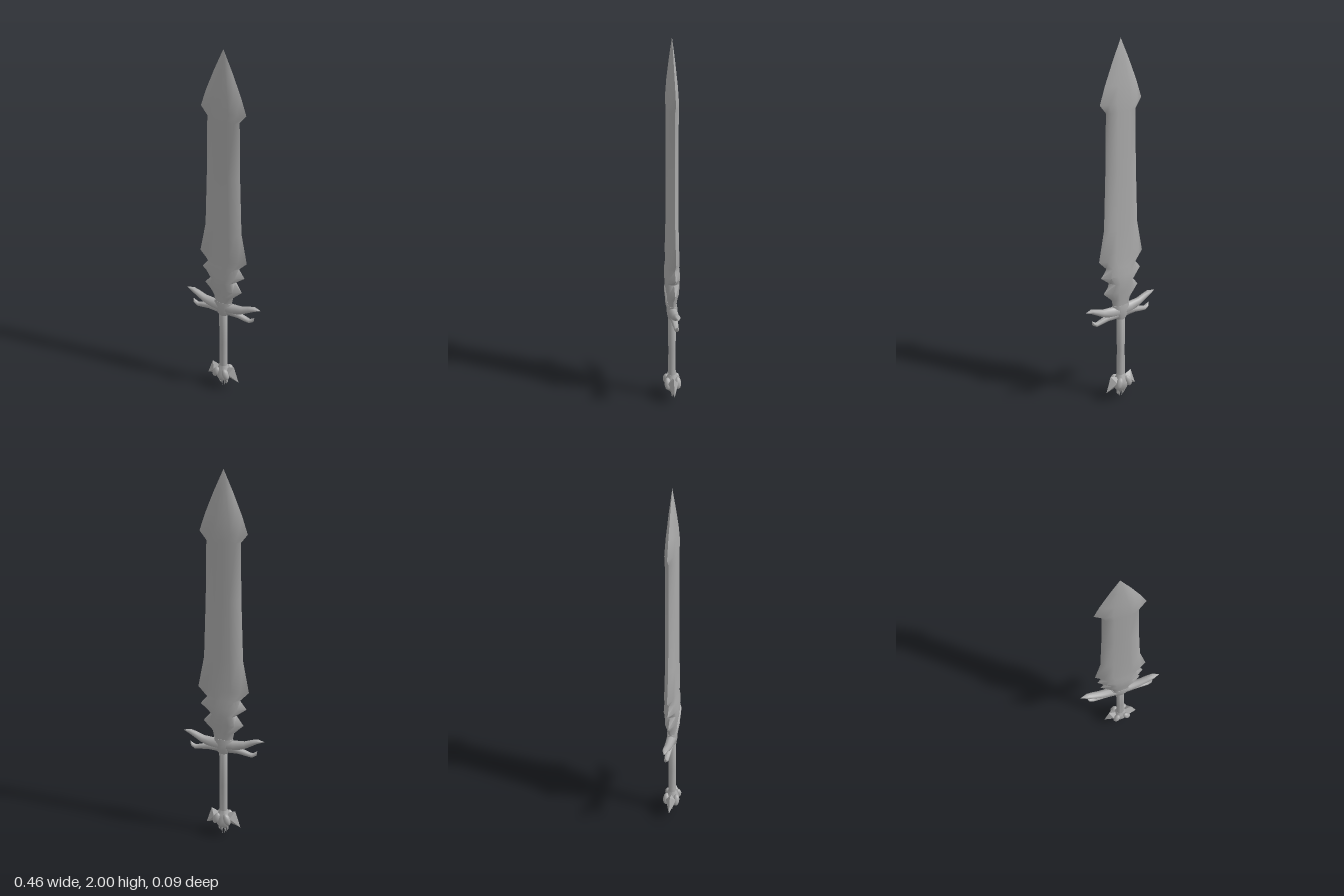
import * as THREE from 'three';
import { toCreasedNormals } from 'three/addons/utils/BufferGeometryUtils.js';
import { ConvexGeometry } from 'three/addons/geometries/ConvexGeometry.js';

const steel = new THREE.MeshStandardMaterial({ color: 0xaaaaaa });
steel.name = 'grey steel';

// Skin a list of rings, each holding the same number of [x, y, z] points
function loft(rings, crease = 1.0) {
  const n = rings[0].length, index = [];
  for (let i = 0; i < rings.length - 1; i++) {
    for (let j = 0; j < n; j++) {
      const a = i * n + j, b = i * n + (j + 1) % n;
      index.push(a, a + n, b, b, a + n, b + n);
    }
  }
  const g = new THREE.BufferGeometry();
  g.setAttribute('position', new THREE.Float32BufferAttribute(rings.flat(2), 3));
  g.setIndex(index);
  return toCreasedNormals(g, crease);
}

// Sweep an ellipse along a path of [x, y, in-plane radius, z radius]
function sweep(path, sides = 10) {
  const rings = path.map(([x, y, r, rz], i) => {
    const p = path[Math.max(i - 1, 0)], q = path[Math.min(i + 1, path.length - 1)];
    const len = Math.hypot(q[0] - p[0], q[1] - p[1]);
    const nx = (q[1] - p[1]) / len, ny = (p[0] - q[0]) / len;
    return Array.from({ length: sides }, (_, j) => {
      const a = j / sides * Math.PI * 2, c = Math.cos(a) * r;
      return [x + nx * c, y + ny * c, Math.sin(a) * rz];
    });
  });
  const [x, y] = path[0];
  rings.unshift(rings[0].map(() => [x, y, 0]));
  return loft(rings);
}

function add(parent, name, geometry) {
  const mesh = new THREE.Mesh(geometry, steel);
  mesh.name = name;
  parent.add(mesh);
  return mesh;
}

export function createModel() {
  const sword = new THREE.Group();
  sword.name = 'sword';

  // Blade stations: height, half width, shoulder half width, half thickness
  const blade = [
    [0.56, 0, 0, 0], [0.56, 0.05, 0.035, 0.022], [0.61, 0.06, 0.045, 0.026],
    [0.66, 0.112, 0.07, 0.034], [0.71, 0.07, 0.055, 0.039], [0.755, 0.128, 0.085, 0.038],
    [0.80, 0.092, 0.07, 0.034], [0.85, 0.14, 0.10, 0.031], [1.02, 0.107, 0.085, 0.028],
    [1.34, 0.096, 0.077, 0.028], [1.64, 0.091, 0.073, 0.029], [1.685, 0.127, 0.085, 0.029],
    [1.775, 0.097, 0.066, 0.024], [1.89, 0.05, 0.033, 0.013], [2.0, 0, 0, 0],
  ];
  add(sword, 'blade', loft(blade.map(([y, w, s, t]) => [
    [w, y, 0], [s, y, t * 0.76], [s * 0.5, y, t * 0.94], [0, y, t],
    [-s * 0.5, y, t * 0.94], [-s, y, t * 0.76], [-w, y, 0], [-s, y, -t * 0.76],
    [-s * 0.5, y, -t * 0.94], [0, y, -t], [s * 0.5, y, -t * 0.94], [s, y, -t * 0.76],
  ])));

  // Grip and the collar where it meets the guard
  add(sword, 'grip', sweep([[0, 0.12, 0.024, 0.021], [0, 0.3, 0.022, 0.02],
    [0, 0.5, 0.024, 0.022], [0, 0.53, 0, 0]]));
  add(sword, 'guardCentre', sweep([[0, 0.488, 0.026, 0.022], [0, 0.51, 0.045, 0.027],
    [0, 0.55, 0.055, 0.028], [0, 0.572, 0.055, 0.025], [0, 0.574, 0, 0]]));

  // Bulb of the pommel
  add(sword, 'pommelBulb', sweep([[0, 0.04, 0.02, 0.012], [0, 0.06, 0.036, 0.032],
    [0, 0.1, 0.042, 0.04], [0, 0.125, 0.032, 0.03], [0, 0.148, 0.024, 0.021], [0, 0.15, 0, 0]]));

  // Everything on one side, then turned half round for the other
  for (const turn of [0, Math.PI]) {
    const side = new THREE.Group();
    side.name = turn ? 'rightSide' : 'leftSide';
    side.rotation.y = turn;
    sword.add(side);

    add(side, 'upperHorn', sweep([[0, 0.535, 0.036, 0.026], [0.06, 0.538, 0.03, 0.023],
      [0.12, 0.552, 0.02, 0.02], [0.16, 0.571, 0.016, 0.018], [0.19, 0.583, 0.012, 0.015],
      [0.228, 0.586, 0, 0]]));
    add(side, 'lowerHorn', sweep([[0.02, 0.522, 0.03, 0.022], [0.09, 0.513, 0.017, 0.017],
      [0.135, 0.503, 0.014, 0.014], [0.16, 0.498, 0.012, 0.012], [0.178, 0.508, 0.01, 0.01],
      [0.19, 0.528, 0, 0]]));

    // Flared wing of the pommel
    const wing = [[0.02, 0.13, 0], [0.068, 0.148, 0], [0.098, 0.055, 0], [0.05, 0.07, 0], [0.02, 0.085, 0]];
    for (const z of [-1, 1]) wing.push([0.045, 0.11, 0.028 * z], [0.06, 0.125, 0.014 * z], [0.02, 0.1, 0.026 * z]);
    add(side, 'pommelWing', toCreasedNormals(
      new ConvexGeometry(wing.map((p) => new THREE.Vector3(...p))), 0.7));

    // Rounded petals at the front and back of the bulb
    for (const z of [-1, 1]) {
      const petal = add(side, 'pommelPetal', new THREE.SphereGeometry(1, 10, 8));
      petal.scale.set(0.019, 0.034, 0.018);
      petal.position.set(0.03, 0.103, 0.028 * z);
      petal.rotation.z = 0.35;
    }

    // Small claws below the pommel
    add(side, 'outerClaw', sweep([[0.018, 0.055, 0.009, 0.009], [0.024, 0.035, 0.006, 0.006], [0.016, 0.014, 0, 0]], 6));
    add(side, 'innerClaw', sweep([[0.008, 0.05, 0.008, 0.008], [0.01, 0.025, 0.005, 0.005], [0.004, 0, 0, 0]], 6));
  }
  return sword;
}
